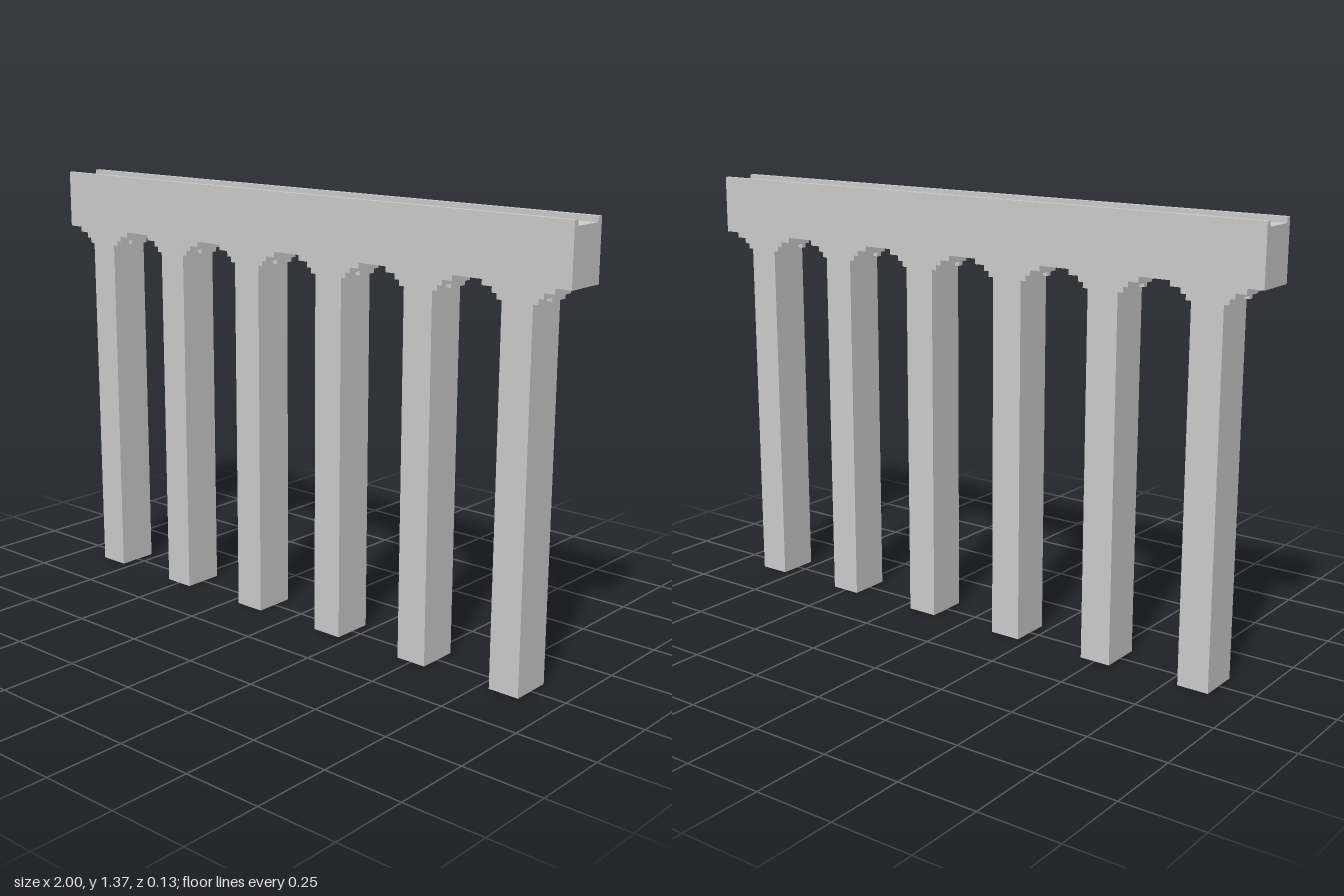
import * as THREE from 'three';

// One block of the masonry; all sizes below are counted in blocks.
const U = 1 / 60;
const LENGTH = 120, DEPTH = 8, DECK_BOTTOM = 71, TOP = 82;
const PIERS = 6, SPACING = 20, HALF_PIER = 3;

const material = new THREE.MeshStandardMaterial({ color: 0xcccccc, flatShading: true });

// Extrudes an outline given in blocks, centred on z.
function extrude(points, depth) {
  const shape = new THREE.Shape(points.map(([x, y]) => new THREE.Vector2(x * U, y * U)));
  const geometry = new THREE.ExtrudeGeometry(shape, { depth: depth * U, bevelEnabled: false });
  return geometry.translate(0, 0, (-depth * U) / 2);
}

function addMesh(parent, name, geometry) {
  const mesh = new THREE.Mesh(geometry, material);
  mesh.name = name;
  parent.add(mesh);
  return mesh;
}

export function createModel() {
  const viaduct = new THREE.Group();
  viaduct.name = 'viaduct';

  // Deck: trough section with a low parapet on each side
  const section = [
    [-4, DECK_BOTTOM], [4, DECK_BOTTOM], [4, TOP], [3, TOP],
    [3, TOP - 1], [-3, TOP - 1], [-3, TOP], [-4, TOP],
  ];
  addMesh(viaduct, 'deck', extrude(section, LENGTH).rotateY(Math.PI / 2));

  // Pier with the two full upper corbel courses
  const half = [[HALF_PIER, 0], [HALF_PIER, 69], [5, 69], [5, 70], [7, 70], [7, DECK_BOTTOM]];
  const outline = [...half, ...half.map(([x, y]) => [-x, y]).reverse()];
  const pierGeometry = extrude(outline, DEPTH);

  // Lowest corbel course: one narrow and one wide block with a gap between
  const lowCorbels = [[3, 4], [-4, 0]].map(([z0, z1]) => ({
    geometry: new THREE.BoxGeometry(U, U, (z1 - z0) * U),
    z: ((z0 + z1) / 2) * U,
  }));

  for (let i = 0; i < PIERS; i++) {
    const pier = new THREE.Group();
    pier.name = `pier${i + 1}`;
    pier.position.x = (i - (PIERS - 1) / 2) * SPACING * U;
    addMesh(pier, 'pierShaft', pierGeometry);
    for (const side of [-1, 1]) {
      for (const { geometry, z } of lowCorbels) {
        addMesh(pier, 'lowCorbel', geometry).position.set(side * (HALF_PIER + 0.5) * U, 68.5 * U, z);
      }
    }
    viaduct.add(pier);
  }
  return viaduct;
}
